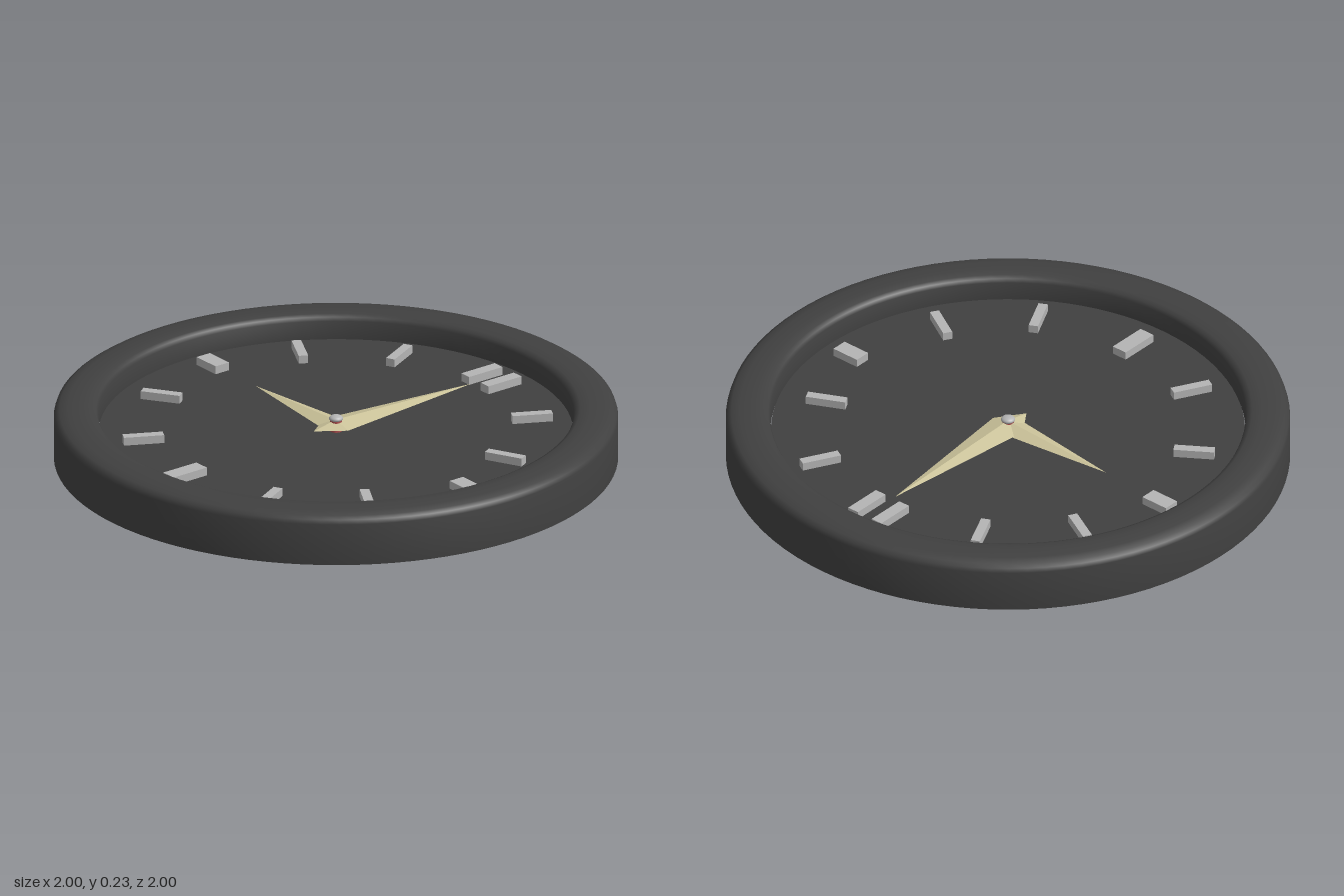
import * as THREE from 'three';
import { toCreasedNormals } from 'three/addons/utils/BufferGeometryUtils.js';
import { ConvexGeometry } from 'three/addons/geometries/ConvexGeometry.js';

const DIAL_Y = 0.14;
const material = (color) => new THREE.MeshStandardMaterial({ color });

export function createModel() {
  const group = new THREE.Group();
  const dark = material(0x404040);
  const grey = material(0xb4b4b4);
  const cream = material(0xcbc39a);
  const red = material(0xb05050);

  const add = (name, geometry, mat, x = 0, y = 0, z = 0) => {
    const mesh = new THREE.Mesh(geometry, mat);
    mesh.name = name;
    mesh.position.set(x, y, z);
    group.add(mesh);
    return mesh;
  };

  // Case: shallow domed back, upright side and rounded rim
  const profile = [
    [0, 0.002], [0.6, 0.002], [0.8, 0.006], [0.9, 0.013], [0.96, 0.024], [1, 0.04],
    [1, 0.195], [0.995, 0.211], [0.98, 0.221], [0.95, 0.228], [0.9, 0.23],
    [0.865, 0.228], [0.85, 0.221], [0.843, 0.208], [0.843, DIAL_Y - 0.01],
  ].map(([r, y]) => new THREE.Vector2(r, y));
  add('case', toCreasedNormals(new THREE.LatheGeometry(profile, 96), 0.7), dark);

  // Dial
  add('dial', new THREE.CylinderGeometry(0.84, 0.84, 0.02, 96), dark, 0, DIAL_Y - 0.01, 0);

  // Hour bars: x, z, turn from the 12 o'clock line in degrees
  const bars = [
    [0.36, -0.6, 28], [0.595, -0.295, 64], [0.605, 0.335, 120], [0.375, 0.595, 153],
    [-0.335, 0.605, 208], [-0.605, 0.31, 236], [-0.62, -0.325, 298], [-0.375, -0.58, 334],
  ];
  const addBar = (name, x, z, degrees, width, length) => {
    const bar = add(name, new THREE.BoxGeometry(width, 0.035, length), grey, x, DIAL_Y + 0.0125, z);
    bar.rotation.y = -THREE.MathUtils.degToRad(degrees);
  };
  for (const [x, z, degrees] of bars) addBar('hourBar', x, z, degrees, 0.034, 0.145);

  // Broader plain markers at the quarters, doubled at 12
  addBar('quarterMarker', -0.06, -0.705, 0, 0.045, 0.15);
  addBar('quarterMarker', 0.05, -0.705, 0, 0.045, 0.15);
  addBar('quarterMarker', 0.725, -0.015, 90, 0.06, 0.11);
  addBar('quarterMarker', 0.012, 0.69, 0, 0.06, 0.15);
  addBar('quarterMarker', -0.725, -0.015, 90, 0.06, 0.11);

  // Hands: kites with a raised ridge, pointing to -z before turning
  const handGeometry = (length, halfWidth, tail) => new ConvexGeometry([
    new THREE.Vector3(0, 0, -length),
    new THREE.Vector3(halfWidth, 0, 0),
    new THREE.Vector3(-halfWidth, 0, 0),
    new THREE.Vector3(0, 0, tail),
    new THREE.Vector3(0, 0.02, 0),
    new THREE.Vector3(0, -0.006, 0),
  ]);
  add('minuteHand', handGeometry(0.61, 0.07, 0.1), cream, 0, 0.162, 0);
  add('hourHand', handGeometry(0.46, 0.056, 0.065), cream, 0, 0.16, 0).rotation.y = Math.PI / 2;

  // Centre pin with its collar and domed cap
  add('pinCollar', new THREE.CylinderGeometry(0.022, 0.022, 0.045, 24), red, 0, DIAL_Y + 0.0225, 0);
  const cap = add('pinCap', new THREE.SphereGeometry(0.025, 24, 12), grey, 0, 0.187, 0);
  cap.scale.y = 0.5;

  return group;
}
